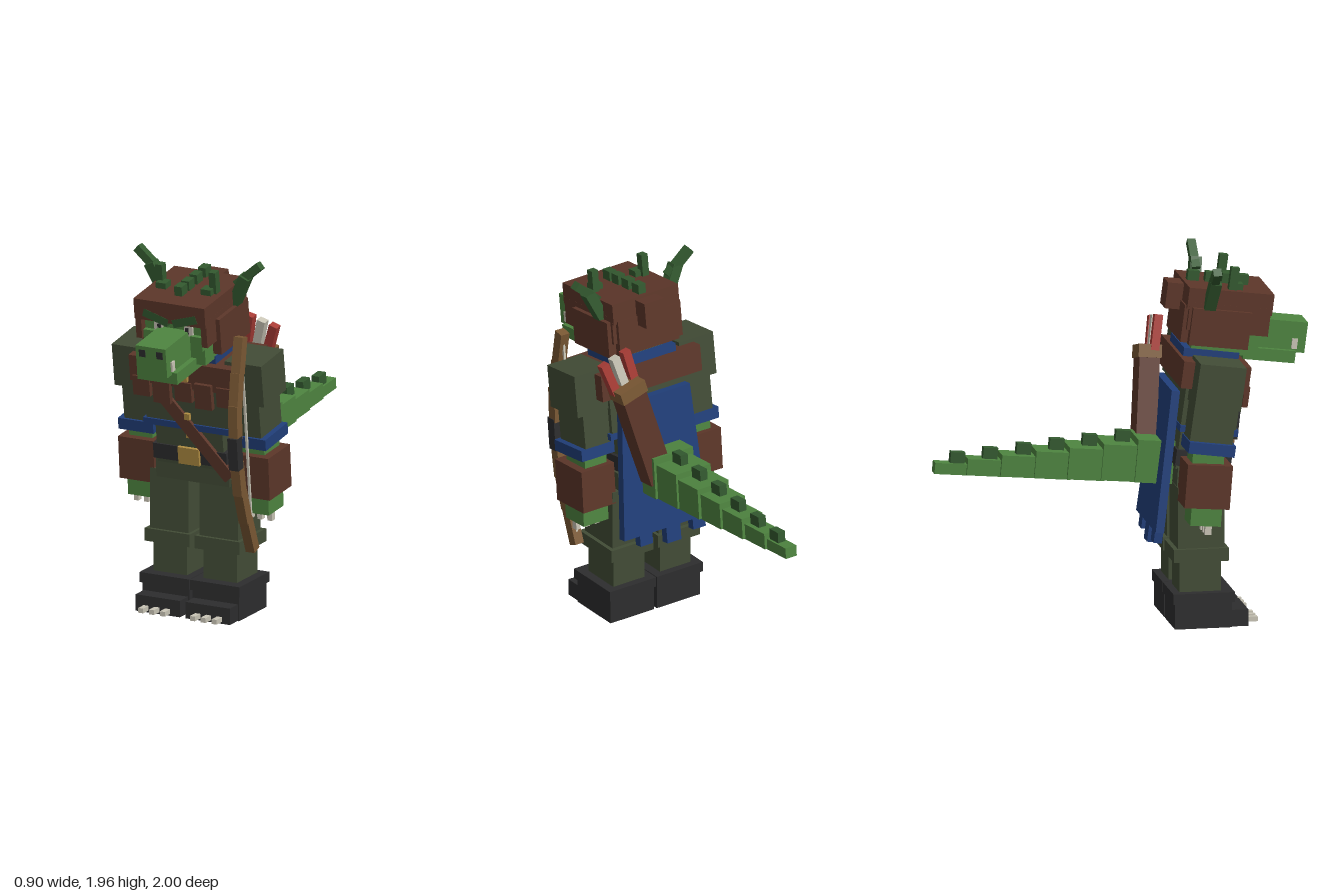
import * as THREE from 'three';

const mat = (name, color) => {
  const m = new THREE.MeshStandardMaterial({ color });
  m.name = name;
  return m;
};

export function createModel() {
  const brown = mat('leather brown', 0x5c3629), olive = mat('olive cloth', 0x424c36);
  const green = mat('scale green', 0x4e8440), dark = mat('dark green', 0x33592f);
  const blue = mat('blue cloth', 0x213f7a), black = mat('black', 0x2d2d2e);
  const gold = mat('gold', 0xb08d42), wood = mat('wood', 0x7a5834);
  const cream = mat('cream', 0xc9c5b6), red = mat('red', 0xa93c36);

  const root = new THREE.Group();
  root.name = 'reptileArcher';
  const LEAN = 0.14; // forward lean of the upper body

  // Box by size, centre and rotation
  const box = (parent, name, m, [w, h, d], [x, y, z], rx = 0, rz = 0) => {
    const mesh = new THREE.Mesh(new THREE.BoxGeometry(w, h, d), m);
    mesh.name = name;
    mesh.position.set(x, y, z);
    mesh.rotation.set(rx, 0, rz);
    parent.add(mesh);
    return mesh;
  };
  const group = (name, [x, y, z], rx = 0, rz = 0) => {
    const g = new THREE.Group();
    g.name = name;
    g.position.set(x, y, z);
    g.rotation.set(rx, 0, rz);
    root.add(g);
    return g;
  };
  // Mirrored pair of boxes
  const pair = (parent, name, m, size, [x, y, z], rx = 0, rz = 0) => {
    for (const s of [1, -1]) {
      box(parent, (s > 0 ? 'left' : 'right') + name, m, size, [s * x, y, z], rx, s * rz);
    }
  };

  // Legs and boots
  const legs = group('legs', [0, 0, 0]);
  pair(legs, 'Boot', black, [0.28, 0.14, 0.305], [0.149, 0.07, 0.3975]);
  pair(legs, 'BootCuff', black, [0.298, 0.055, 0.33], [0.151, 0.165, 0.4]);
  pair(legs, 'BootToe', black, [0.265, 0.09, 0.1], [0.15, 0.047, 0.59]);
  for (const x of [0.09, 0.155, 0.22]) pair(legs, 'ToeClaw', cream, [0.03, 0.026, 0.07], [x, 0.026, 0.665]);
  pair(legs, 'Shin', olive, [0.2, 0.2, 0.225], [0.15, 0.28, 0.388]);
  pair(legs, 'KneeCuff', olive, [0.27, 0.07, 0.295], [0.15, 0.395, 0.388]);
  pair(legs, 'Thigh', olive, [0.23, 0.34, 0.25], [0.148, 0.59, 0.39]);
  box(legs, 'hips', olive, [0.44, 0.12, 0.26], [0, 0.79, 0.4], 0.07);

  // Torso, belt and buttons
  const torso = group('torso', [0, 0, 0]);
  box(torso, 'waist', olive, [0.4, 0.24, 0.28], [0, 0.95, 0.42], LEAN);
  box(torso, 'chest', olive, [0.5, 0.36, 0.3], [0, 1.24, 0.455], LEAN);
  box(torso, 'hemBand', blue, [0.53, 0.035, 0.315], [0, 1.062, 0.433], LEAN);
  box(torso, 'belt', black, [0.44, 0.085, 0.3], [0, 0.895, 0.412], LEAN);
  box(torso, 'buckle', gold, [0.125, 0.095, 0.02], [0, 0.874, 0.568], LEAN);
  for (const y of [1.1, 0.995]) box(torso, 'button', gold, [0.03, 0.035, 0.02], [0.005, y, 0.576 + (y - 0.995) * 0.2], LEAN);
  box(torso, 'chestStrap', brown, [0.072, 0.58, 0.025], [0.045, 0.995, 0.578], LEAN, 0.72);

  // Leather mantle with hanging tabs
  box(torso, 'mantle', brown, [0.64, 0.145, 0.365], [0, 1.362, 0.46], LEAN);
  for (let i = -2; i <= 2; i++) {
    const long = Math.abs(i) === 1;
    box(torso, 'mantleTab', brown, [0.1, long ? 0.14 : 0.11, 0.03],
      [i * 0.125, long ? 1.237 : 1.245, long ? 0.635 : 0.625], LEAN);
  }
  box(torso, 'clasp', gold, [0.068, 0.075, 0.03], [0, 1.345, 0.647], LEAN);
  box(torso, 'collar', blue, [0.36, 0.055, 0.3], [0, 1.452, 0.46], LEAN);

  // Arms
  const arms = group('arms', [0, 0, 0]);
  pair(arms, 'Shoulder', olive, [0.22, 0.235, 0.25], [0.338, 1.337, 0.46], LEAN);
  pair(arms, 'UpperArm', olive, [0.17, 0.24, 0.23], [0.325, 1.14, 0.43], LEAN);
  pair(arms, 'ArmBand', blue, [0.21, 0.062, 0.25], [0.337, 1.002, 0.415], LEAN);
  pair(arms, 'Elbow', green, [0.14, 0.1, 0.17], [0.335, 0.93, 0.4], 0.08);
  pair(arms, 'Bracer', brown, [0.21, 0.235, 0.243], [0.345, 0.802, 0.395], 0.08);
  pair(arms, 'Hand', green, [0.16, 0.11, 0.165], [0.342, 0.64, 0.387], 0.08);
  for (const x of [0.28, 0.34, 0.4]) pair(arms, 'HandClaw', cream, [0.028, 0.06, 0.035], [x, 0.565, 0.4], 0.05);

  // Head
  const head = group('head', [0, 0, 0]);
  const T = 0.13;
  box(head, 'neck', green, [0.24, 0.12, 0.22], [0, 1.45, 0.47], T);
  box(head, 'skull', green, [0.35, 0.24, 0.36], [0, 1.575, 0.545], T);
  box(head, 'snout', green, [0.18, 0.165, 0.3], [0, 1.522, 0.84], T);
  box(head, 'jaw', green, [0.24, 0.065, 0.28], [0, 1.425, 0.785], T);
  pair(head, 'Nostril', black, [0.038, 0.04, 0.02], [0.052, 1.545, 0.986], T);
  pair(head, 'Fang', cream, [0.016, 0.055, 0.03], [0.092, 1.475, 0.925], T);
  pair(head, 'Eye', cream, [0.05, 0.06, 0.02], [0.09, 1.622, 0.735], T);
  pair(head, 'Pupil', black, [0.018, 0.035, 0.008], [0.083, 1.62, 0.748], T);
  pair(head, 'Cheek', green, [0.07, 0.08, 0.05], [0.14, 1.56, 0.725], T);
  pair(head, 'Brow', dark, [0.15, 0.045, 0.04], [0.087, 1.682, 0.765], T, 0.3);

  // Leather helmet
  box(head, 'helmetCap', brown, [0.425, 0.115, 0.46], [0, 1.745, 0.56], T);
  pair(head, 'HelmetSide', brown, [0.034, 0.15, 0.44], [0.196, 1.65, 0.55], T);
  pair(head, 'EarFlap', brown, [0.05, 0.2, 0.32], [0.212, 1.605, 0.5], T);
  box(head, 'neckGuard', brown, [0.38, 0.2, 0.06], [0, 1.63, 0.335], T);
  box(head, 'helmetKnob', brown, [0.13, 0.14, 0.095], [0, 1.755, 0.29], T);

  // Head spikes and horns
  for (const z of [0.66, 0.58, 0.49, 0.395]) {
    box(head, 'crestSpike', dark, [0.046, 0.08, 0.062], [0, 1.82 + (0.53 - z) * T, z], T);
  }
  pair(head, 'SideSpike', dark, [0.04, 0.13, 0.045], [0.16, 1.855, 0.585], T);
  pair(head, 'SpikeBase', dark, [0.06, 0.05, 0.06], [0.135, 1.805, 0.605], T);
  pair(head, 'HornBase', dark, [0.06, 0.18, 0.06], [0.246, 1.795, 0.455], T, -0.45);
  pair(head, 'HornTip', dark, [0.045, 0.185, 0.045], [0.298, 1.885, 0.458], 0, -0.86);

  // Cape with a ragged hem
  const cape = group('capeGroup', [0, 0.86, 0.21], 0.127);
  const outline = [[-0.22, 0.42], [-0.27, -0.34], [-0.25, -0.34], [-0.25, -0.4], [-0.17, -0.4], [-0.17, -0.34],
    [-0.09, -0.34], [-0.09, -0.43], [0, -0.43], [0, -0.34], [0.09, -0.34], [0.09, -0.4], [0.17, -0.4],
    [0.17, -0.34], [0.27, -0.34], [0.22, 0.42]];
  const capeGeo = new THREE.ExtrudeGeometry(new THREE.Shape(outline.map(p => new THREE.Vector2(...p))),
    { depth: 0.045, bevelEnabled: false }).translate(0, 0, -0.0225);
  const capeMesh = new THREE.Mesh(capeGeo, blue);
  capeMesh.name = 'cape';
  cape.add(capeMesh);

  // Quiver with three arrows
  const quiver = group('quiver', [0.145, 1.14, 0.168], 0.1, -0.27);
  box(quiver, 'quiverBody', brown, [0.15, 0.58, 0.11], [0, -0.01, 0]);
  box(quiver, 'quiverRim', wood, [0.165, 0.07, 0.125], [0, 0.265, 0]);
  [red, cream, red].forEach((m, i) => {
    box(quiver, 'arrowFletching', m, [0.048, 0.19, 0.045], [(i - 1) * 0.068, 0.365, 0.03], 0.06, (1 - i) * 0.06);
  });

  // Tapering tail with a row of spikes: [front z, back z, width, height]
  const tail = group('tail', [0, 0, 0]);
  const segments = [[0.27, 0.07, 0.255, 0.23], [0.085, -0.11, 0.225, 0.195], [-0.09, -0.29, 0.2, 0.17],
    [-0.27, -0.465, 0.165, 0.145], [-0.445, -0.645, 0.135, 0.115], [-0.625, -0.825, 0.1, 0.088], [-0.805, -0.997, 0.07, 0.06]];
  segments.forEach(([z0, z1, w, h], i) => {
    const z = (z0 + z1) / 2, y = 0.875 - i * 0.002;
    box(tail, 'tailSegment', green, [w, h, z0 - z1], [0, y, z], 0.09);
    if (i) box(tail, 'tailSpike', dark, [0.046, 0.07, 0.078], [0, y + h / 2 + 0.022, z + 0.03], 0.09);
  });

  // Bow held upright at the side
  const bow = group('bow', [0.336, 0.99, 0.545], 0.11);
  box(bow, 'bowGrip', black, [0.057, 0.18, 0.058], [0, -0.01, 0.135]);
  for (const s of [1, -1]) {
    [[0.16, 0.118, 0.19, 0.07], [0.33, 0.087, 0.19, 0.22], [0.51, 0.035, 0.2, 0.27]].forEach(([y, z, h, a]) => {
      box(bow, 'bowLimb', wood, [0.054, h, 0.056], [0, s * y, z], -s * a);
    });
  }
  box(bow, 'bowString', cream, [0.012, 1.1, 0.012], [0, 0, 0.005]);

  return root;
}
